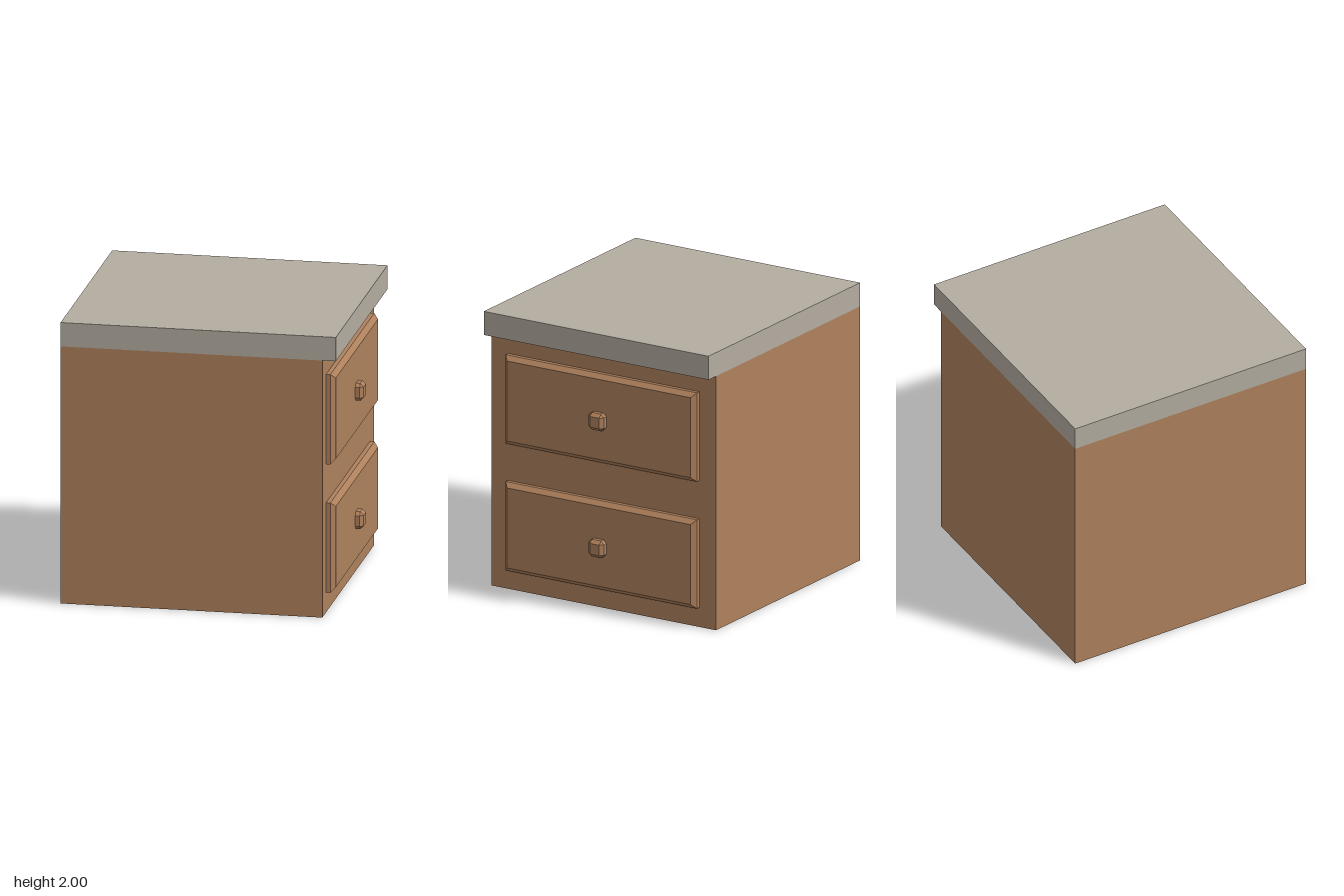
import * as THREE from 'three';
import { ConvexGeometry } from 'three/addons/geometries/ConvexGeometry.js';

const wood = new THREE.MeshStandardMaterial({ color: 0xae815d });
wood.name = 'wood';
const stone = new THREE.MeshStandardMaterial({ color: 0xb3aca0 });
stone.name = 'stone';

// Box given by its minimum and maximum corners
function box(name, min, max, material) {
  const size = max.map((v, i) => v - min[i]);
  const mesh = new THREE.Mesh(new THREE.BoxGeometry(...size), material);
  mesh.position.set(...max.map((v, i) => (v + min[i]) / 2));
  mesh.name = name;
  return mesh;
}

// Convex solid from [x, y, z] corners, mirrored in y and z
function mirroredSolid(name, corners, material) {
  const points = [];
  for (const [x, y, z] of corners)
    for (const sy of [-1, 1])
      for (const sz of [-1, 1]) points.push(new THREE.Vector3(x, y * sy, z * sz));
  const mesh = new THREE.Mesh(new ConvexGeometry(points), material);
  mesh.name = name;
  return mesh;
}

// Drawer facing +x: bevelled panel with a chamfered knob
function createDrawer(name, y) {
  const drawer = new THREE.Group();
  drawer.name = name;
  drawer.add(
    mirroredSolid('drawerPanel', [
      [0, 0.32, 0.778], [0.03, 0.32, 0.778], [0.062, 0.288, 0.746],
    ], wood),
    mirroredSolid('knob', [
      [0.06, 0.062, 0.038], [0.06, 0.038, 0.062],
      [0.093, 0.062, 0.038], [0.093, 0.038, 0.062],
      [0.117, 0.038, 0.038],
    ], wood),
  );
  drawer.position.set(0.853, y, 0);
  return drawer;
}

export function createModel() {
  const model = new THREE.Group();
  model.name = 'drawerCabinet';
  model.add(
    box('cabinetBody', [-0.973, 0, -0.914], [0.853, 1.83, 0.914], wood),
    box('countertop', [-0.973, 1.83, -0.914], [0.948, 2, 0.914], stone),
    createDrawer('upperDrawer', 1.374),
    createDrawer('lowerDrawer', 0.46),
  );
  // Knobs sit slightly below the middle of each panel
  model.traverse((o) => { if (o.name === 'knob') o.position.y = -0.009; });
  return model;
}
